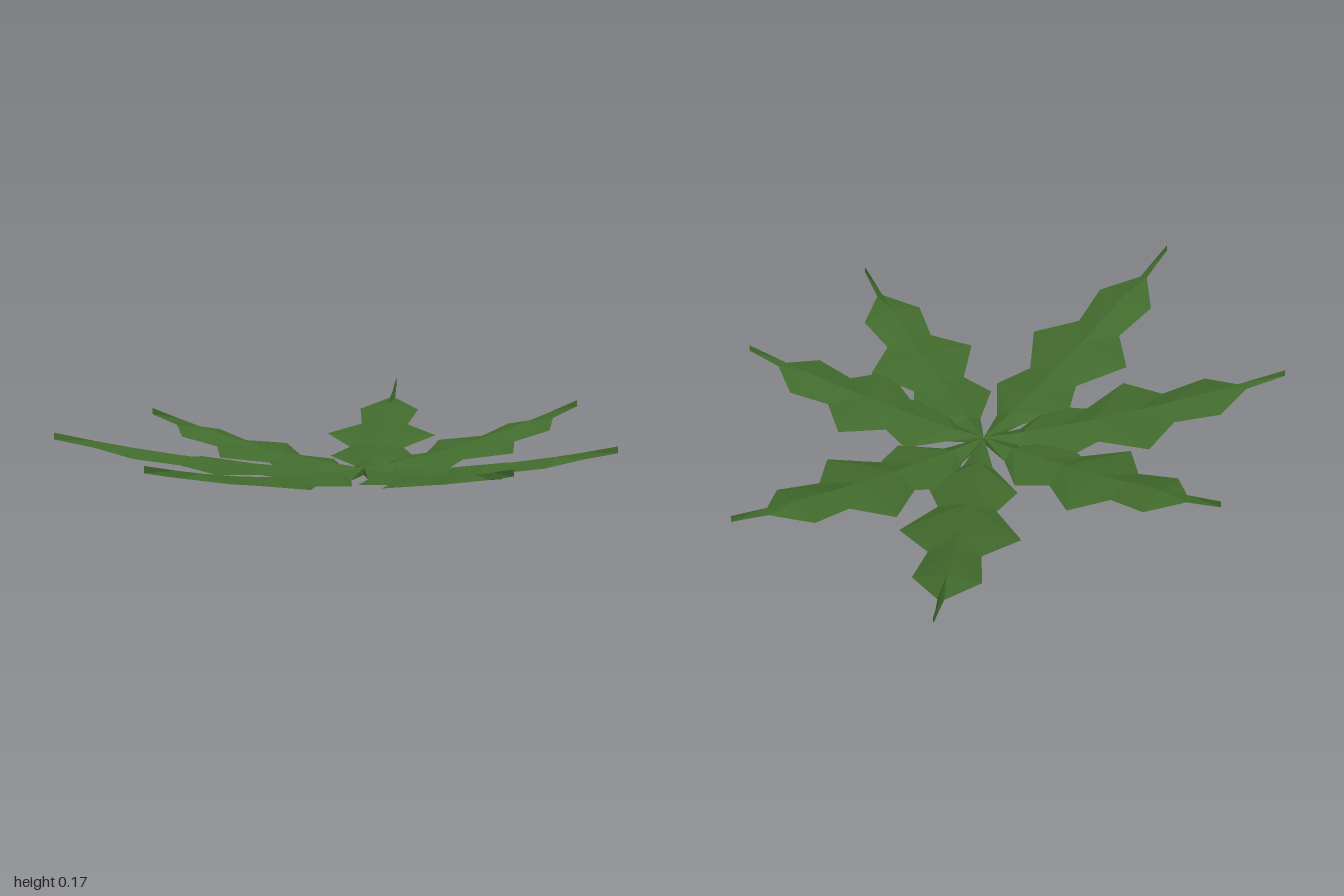
import * as THREE from 'three';

// Leaf outline: [fraction of length, half width]
const OUTLINE = [
  [0, 0.003], [0.13, 0.045], [0.25, 0.134], [0.36, 0.086], [0.505, 0.175],
  [0.612, 0.076], [0.76, 0.097], [0.87, 0.009], [1, 0.001],
];
const FOLD = 0.02; // height of the midrib above the leaf edges

// Leaf tips as [x, z] offsets from the rosette centre
const TIPS = [
  [0.797, 0], [0.421, -0.788], [-0.287, -0.963], [-0.804, -0.153],
  [-0.772, 0.521], [-0.198, 1.028], [0.667, 0.542],
];

// A lobed blade along +x, ridged along its midrib and curving upward
function leafGeometry(length) {
  const rows = OUTLINE.map(([t, w]) => {
    const x = t * length;
    const y = 0.145 * length * Math.pow(t, 1.7);
    return [[x, y, -w], [x, y + FOLD, 0], [x, y, w]];
  });
  const points = [];
  for (let i = 0; i < rows.length - 1; i++) {
    const a = rows[i], b = rows[i + 1];
    // Both halves are split from the midrib outward, so they mirror each other
    points.push(a[1], b[1], b[0], a[1], b[0], a[0]);
    points.push(a[1], b[2], b[1], a[1], a[2], b[2]);
  }
  const geometry = new THREE.BufferGeometry();
  geometry.setAttribute('position', new THREE.Float32BufferAttribute(points.flat(), 3));
  geometry.computeVertexNormals();
  return geometry;
}

export function createModel() {
  const leafGreen = new THREE.MeshStandardMaterial({
    color: 0x426b2d, side: THREE.DoubleSide, flatShading: true,
  });
  leafGreen.name = 'leafGreen';

  const group = new THREE.Group();
  group.name = 'leafRosette';
  TIPS.forEach(([x, z], i) => {
    const leaf = new THREE.Mesh(leafGeometry(Math.hypot(x, z)), leafGreen);
    leaf.name = `leaf${i + 1}`;
    leaf.rotation.y = Math.atan2(-z, x);
    leaf.position.set(0.004, 0, -0.032);
    group.add(leaf);
  });
  return group;
}
